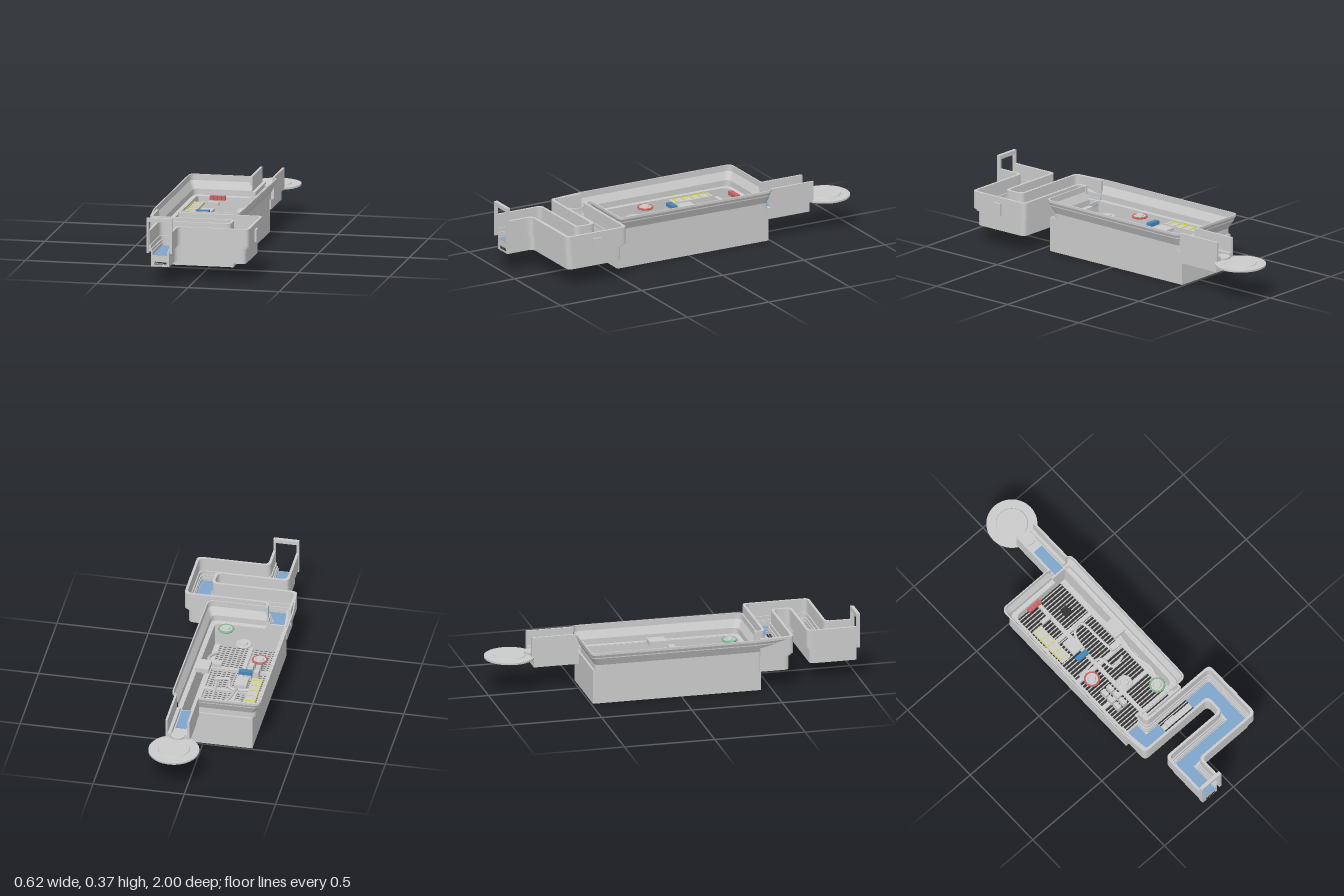
import * as THREE from 'three';

const mat = (color, side = THREE.FrontSide) =>
  new THREE.MeshStandardMaterial({ color, side, flatShading: true });
const grey = mat(0xcccccc), sheet = mat(0xcccccc, THREE.DoubleSide), blue = mat(0x7ea6cc), dark = mat(0x333333);
const red = mat(0xcc6666), yellow = mat(0xd8d840), green = mat(0x7fb98a), azure = mat(0x4488bb);

export function createModel() {
  const root = new THREE.Group();
  const add = (name, geo, m = grey, parent = root) => {
    const mesh = new THREE.Mesh(geo, m);
    mesh.name = name;
    parent.add(mesh);
    return mesh;
  };
  const group = (name) => {
    const g = new THREE.Group();
    g.name = name;
    root.add(g);
    return g;
  };
  // Box given by its limits on each axis
  const box = (name, x0, x1, y0, y1, z0, z1, m, parent) =>
    add(name, new THREE.BoxGeometry(x1 - x0, y1 - y0, z1 - z0)
      .translate((x0 + x1) / 2, (y0 + y1) / 2, (z0 + z1) / 2), m, parent);

  // Parallel copy of a plan path [x, z], positive d to the left of travel
  const offset = (path, d) => path.map((p, i) => {
    const normal = (a, b) => {
      const l = Math.hypot(b[0] - a[0], b[1] - a[1]);
      return [(b[1] - a[1]) / l, -(b[0] - a[0]) / l];
    };
    const n1 = normal(path[Math.max(i - 1, 0)], path[Math.max(i, 1)]);
    const n2 = i < path.length - 1 ? normal(p, path[i + 1]) : n1;
    const k = d / (1 + n1[0] * n2[0] + n1[1] * n2[1]);
    return [p[0] + (n1[0] + n2[0]) * k, p[1] + (n1[1] + n2[1]) * k];
  });
  // Round every inner corner of an open path
  const fillet = (path, r) => path.flatMap((p, i) => {
    if (i === 0 || i === path.length - 1) return [p];
    const toward = (q) => {
      const l = Math.hypot(q[0] - p[0], q[1] - p[1]), k = Math.min(r, l * 0.45) / l;
      return new THREE.Vector2(p[0] + (q[0] - p[0]) * k, p[1] + (q[1] - p[1]) * k);
    };
    return new THREE.QuadraticBezierCurve(toward(path[i - 1]), new THREE.Vector2(...p), toward(path[i + 1]))
      .getPoints(5).map((v) => [v.x, v.y]);
  });
  // Upright slab between two parallels of a path
  const strip = (name, path, d0, d1, y0, y1, m, parent, r = 0.03) => {
    const pts = [...fillet(offset(path, d0), r), ...fillet(offset(path, d1), r).reverse()];
    const shape = new THREE.Shape(pts.map(([x, z]) => new THREE.Vector2(x, -z)));
    const geo = new THREE.ExtrudeGeometry(shape, { depth: y1 - y0, bevelEnabled: false });
    add(name, geo.rotateX(-Math.PI / 2).translate(0, y0, 0), m, parent);
  };

  // Winding corridor
  const corridor = group('windingCorridor');
  const route = [[-0.225, 0.43], [-0.225, 0.547], [0.23, 0.547], [0.23, 0.777], [-0.157, 0.777], [-0.157, 0.985]];
  strip('corridorBase', route, 0.05, -0.05, 0.105, 0.167, grey, corridor);
  strip('corridorFloor', route, 0.037, -0.037, 0.167, 0.17, blue, corridor, 0.004);
  for (const s of [1, -1]) {
    strip('lowerWall', route, s * 0.05, s * 0.04, 0.167, 0.187, grey, corridor);
    strip('wallLip', route, s * 0.06, s * 0.044, 0.187, 0.2, grey, corridor);
    strip('wallFoot', route, s * 0.062, s * 0.05, 0.2, 0.222, grey, corridor);
    strip('upperWall', route, s * 0.07, s * 0.056, 0.2, 0.298, grey, corridor);
  }
  box('sidePanel', 0.295, 0.31, 0.2, 0.267, 0.64, 0.69, grey, corridor);
  // Lock in the middle of the first cross passage
  box('lockFloor', -0.1, 0.1, 0.165, 0.175, 0.507, 0.587, grey, corridor);
  for (const z of [0.512, 0.526, 0.568, 0.582]) box('lockRail', -0.1, 0.1, 0.175, 0.182, z - 0.003, z + 0.003, dark, corridor);
  box('lockUnit', -0.075, -0.01, 0.175, 0.195, 0.53, 0.565, grey, corridor);
  for (const [x, z] of [[-0.01, 0.76], [0.01, 0.78], [0.14, 0.75], [-0.02, 0.55]])
    box('underFoot', x - 0.006, x + 0.006, 0.098, 0.106, z - 0.01, z + 0.01, grey, corridor);

  // Gate at the front end
  const gate = group('entranceGate');
  box('gatePostRight', -0.228, -0.216, 0.18, 0.37, 0.98, 1, grey, gate);
  box('gatePostLeft', -0.1, -0.088, 0.18, 0.37, 0.98, 1, grey, gate);
  box('gateBeam', -0.228, -0.088, 0.35, 0.372, 0.98, 1, grey, gate);
  for (let i = 0; i < 4; i++) box('gateStepLine', -0.185, -0.12, 0.117 + i * 0.004, 0.119 + i * 0.004, 0.985, 0.987, dark, gate);

  // Deep pit: four walls and a bottom
  const pit = group('pit');
  box('pitBottom', -0.27, 0.13, 0, 0.012, -0.49, 0.44, grey, pit);
  box('pitWallRight', -0.27, -0.26, 0.012, 0.19, -0.49, 0.44, grey, pit);
  box('pitWallLeft', 0.12, 0.13, 0.012, 0.19, -0.49, 0.44, grey, pit);
  box('pitWallBack', -0.26, 0.12, 0.012, 0.19, -0.49, -0.48, grey, pit);
  box('pitWallFront', -0.26, 0.12, 0.012, 0.19, 0.43, 0.44, grey, pit);

  // Floor grating with its frame
  box('gratingBed', -0.26, 0.12, 0.012, 0.014, -0.48, 0.43, dark, pit);
  for (let z = -0.47; z < 0.42; z += 0.02) box('gratingSlat', -0.25, 0.09, 0.014, 0.022, z, z + 0.005, grey, pit);
  for (const z of [-0.245, 0, 0.205]) box('gratingCrossBar', -0.26, 0.12, 0.014, 0.03, z - 0.011, z + 0.011, grey, pit);
  for (const [x, w] of [[-0.245, 0.015], [-0.08, 0.011], [0.105, 0.015]])
    box('gratingLongBar', x - w, x + w, 0.014, 0.03, -0.48, 0.43, grey, pit);

  // Flared hall walls, open sheets seen from both sides
  const profile = [[-0.01, 0.188], [0.015, 0.19], [0.015, 0.222], [0.036, 0.265], [0.036, 0.298], [0.043, 0.298], [0.043, 0.285], [0.036, 0.27]];
  const hallWall = (name, path) => {
    const rows = profile.map(([d, y]) => fillet(offset(path, d), 0.035).map(([x, z]) => [x, y, z]));
    const pos = [];
    for (let j = 0; j < rows.length - 1; j++) {
      for (let i = 0; i < rows[0].length - 1; i++) {
        const a = rows[j][i], b = rows[j][i + 1], c = rows[j + 1][i + 1], d = rows[j + 1][i];
        pos.push(...a, ...b, ...c, ...a, ...c, ...d);
      }
    }
    const geo = new THREE.BufferGeometry();
    geo.setAttribute('position', new THREE.Float32BufferAttribute(pos, 3));
    geo.computeVertexNormals();
    add(name, geo, sheet);
  };
  hallWall('hallWallRight', [[-0.25, 0.6], [-0.27, 0.42], [-0.27, -0.465], [0.03, -0.465]]);
  hallWall('hallWallLeft', [[0.125, -0.465], [0.13, -0.46], [0.12, 0.4], [-0.165, 0.4]]);

  // Rear corridor
  const rear = group('rearCorridor');
  box('rearBase', 0.035, 0.14, 0.125, 0.185, -0.74, -0.48, grey, rear);
  box('rearSill', 0.022, 0.153, 0.18, 0.192, -0.755, -0.48, grey, rear);
  box('rearFloor', 0.058, 0.117, 0.192, 0.195, -0.66, -0.49, blue, rear);
  for (const s of [1, -1]) {
    const side = (name, a, b, y0, y1) => {
      const x = [0.0875 + s * a, 0.0875 + s * b].sort((p, q) => p - q);
      box(name, x[0], x[1], y0, y1, -0.755, -0.495, grey, rear);
    };
    side('rearWall', 0.054, 0.066, 0.19, 0.298);
    side('rearLedge', 0.036, 0.054, 0.19, 0.215);
  }
  add('rearStep', new THREE.CylinderGeometry(0.04, 0.04, 0.012, 24).translate(0.0875, 0.198, -0.74), grey, rear);

  // Round landing at the back
  const landing = group('landingDisc');
  add('disc', new THREE.CylinderGeometry(0.137, 0.137, 0.01, 48).translate(0.085, 0.184, -0.863), grey, landing);
  add('raisedCentre', new THREE.CylinderGeometry(0.083, 0.087, 0.007, 40).translate(0.085, 0.192, -0.863), grey, landing);

  // Round hovering pads in the hall
  for (const [x, z, m] of [[-0.195, 0.085, red], [-0.08, 0.217, grey], [0.042, 0.345, green]]) {
    const pad = group('hoverPad');
    pad.position.set(x, 0.19, z);
    add('padRing', new THREE.TorusGeometry(0.038, 0.006, 6, 28).rotateX(Math.PI / 2), m, pad);
    add('padBody', new THREE.CylinderGeometry(0.036, 0.036, 0.006, 28), grey, pad);
    add('padHub', new THREE.CylinderGeometry(0.02, 0.024, 0.012, 20).translate(0, 0.006, 0), grey, pad);
  }

  // Equipment at hall level
  const gear = group('hallEquipment');
  box('longConsole', -0.25, -0.19, 0.175, 0.185, -0.33, -0.09, grey, gear);
  for (let i = 0; i < 5; i++) box('consoleMark', -0.247, -0.193, 0.185, 0.188, -0.315 + i * 0.05, -0.311 + i * 0.05, yellow, gear);
  box('consoleEdge', -0.25, -0.246, 0.185, 0.189, -0.31, -0.11, yellow, gear);
  box('workTable', -0.172, -0.105, 0.165, 0.185, -0.175, -0.085, grey, gear);
  box('blueCrate', -0.18, -0.108, 0.18, 0.2, -0.065, -0.035, azure, gear);
  for (let i = 0; i < 4; i++) box('redCrate', -0.185 + i * 0.022, -0.166 + i * 0.022, 0.175, 0.198, -0.445, -0.42, red, gear);
  box('smallUnit', -0.175, -0.115, 0.165, 0.185, -0.35, -0.325, grey, gear);
  box('wallBalcony', 0.05, 0.125, 0.185, 0.21, -0.095, 0, grey, gear);
  box('balconyBox', 0, 0.06, 0.165, 0.185, 0.005, 0.04, grey, gear);

  // Machines and pipes on the pit floor
  const works = group('pitMachinery');
  for (const x of [-0.165, -0.125])
    for (let i = 0; i < 3; i++) box('cell', x - 0.012, x + 0.012, 0.022, 0.07, 0.135 + i * 0.05, 0.175 + i * 0.05, grey, works);
  box('darkUnit', -0.02, 0.02, 0.022, 0.05, -0.36, -0.31, dark, works);
  const pipes = [
    [[-0.09, 0.06, -0.02], [-0.06, 0.09, -0.2], [0, 0.09, -0.22], [0.02, 0.07, -0.08], [0.03, 0.06, 0.02]],
    [[-0.2, 0.05, -0.01], [-0.05, 0.05, -0.01], [-0.03, 0.05, 0.07], [0.05, 0.05, 0.06]],
    [[0.1, 0.12, -0.02], [0.09, 0.1, 0.12], [0.11, 0.08, 0.22], [0.08, 0.05, 0.32]],
  ];
  for (const p of pipes)
    add('pipe', new THREE.TubeGeometry(new THREE.CatmullRomCurve3(p.map((v) => new THREE.Vector3(...v))), 24, 0.008, 8), grey, works);

  return root;
}
